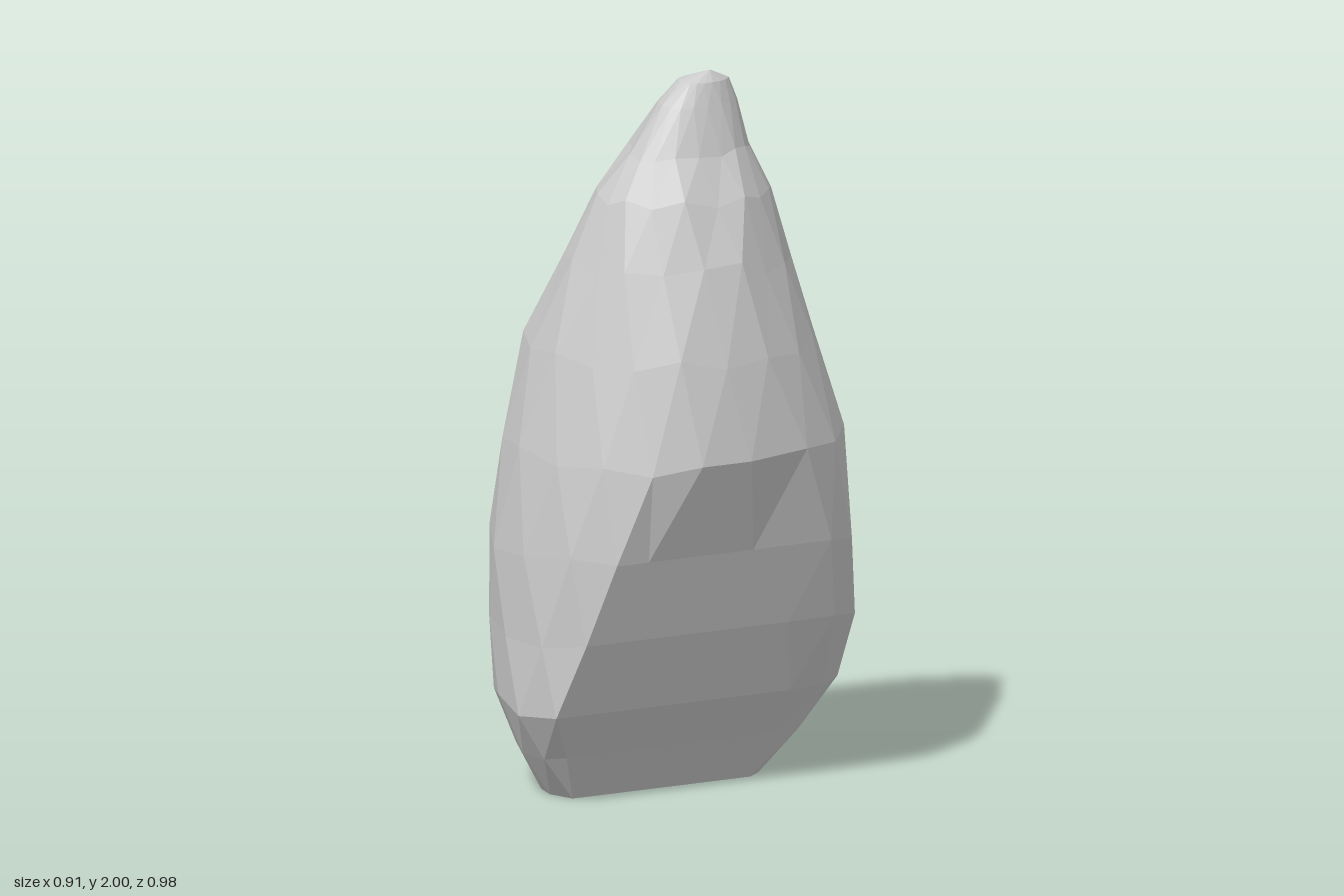
import * as THREE from 'three';

// Cross-sections: y, centre x, left x, right x, front z, back z, undercut x,
// then corner roundness (small is square): front-left, front-right, back-right, back-left
// (as seen from the front)
const SECTIONS = [
  [0.00, -0.08, -0.30, 0.18, 0.32, -0.33, 0.12, 1.05, 0.92, 0.68, 1.0],
  [0.13, -0.04, -0.39, 0.27, 0.41, -0.41, 0.19, 1.1, 0.92, 0.66, 1.1],
  [0.26, 0.00, -0.455, 0.37, 0.49, -0.485, 0.265, 1.1, 0.9, 0.64, 1.13],
  [0.47, 0.03, -0.45, 0.42, 0.49, -0.49, 0.35, 0.98, 0.88, 0.6, 1.0],
  [0.70, 0.04, -0.445, 0.44, 0.485, -0.485, 0.425, 0.92, 0.9, 0.64, 0.9],
  [0.97, 0.05, -0.41, 0.455, 0.46, -0.45, 0.53, 0.93, 0.92, 0.78, 0.9],
  [1.24, 0.06, -0.35, 0.41, 0.40, -0.40, 1, 0.95, 0.98, 0.98, 0.9],
  [1.48, 0.08, -0.25, 0.35, 0.33, -0.335, 1, 1.0, 1.08, 1.1, 0.85],
  [1.66, 0.09, -0.16, 0.29, 0.265, -0.28, 1, 1.12, 1.12, 1.12, 0.75],
  [1.78, 0.10, -0.09, 0.225, 0.18, -0.21, 1, 1.15, 1.12, 1.12, 0.72],
  [1.91, 0.11, -0.005, 0.185, 0.09, -0.165, 1, 1.1, 1.0, 1.0, 0.8],
  [1.97, 0.125, 0.05, 0.165, 0.03, -0.13, 1, 1.0, 1.0, 1.0, 0.9],
];
const SIDES = 18;

function seeded(seed) {
  return () => (seed = (seed * 16807) % 2147483647) / 2147483647;
}

function createRockGeometry() {
  const random = seeded(41);
  const positions = [];
  const index = [];
  SECTIONS.forEach(([y, cx, left, right, front, back, cut, fl, fr, br, bl], row) => {
    const cz = -0.05 * THREE.MathUtils.smoothstep(y, 1.2, 2);
    for (let i = 0; i < SIDES; i++) {
      const a = ((i + (row % 2) / 2) / SIDES) * Math.PI * 2;
      const c = Math.cos(a), s = Math.sin(a);
      // Oval with its own roundness in each quarter
      const power = s > 0 ? (c > 0 ? fr : fl) : (c > 0 ? br : bl);
      const bulge = (v) => Math.sign(v) * Math.abs(v) ** power;
      const wobble = row === 0 ? 1 : 0.992 + random() * 0.022;
      let x = cx + bulge(c) * (c > 0 ? right - cx : cx - left) * wobble;
      const z = cz + bulge(s) * (s > 0 ? front - cz : cz - back) * wobble;
      let lift = row === 0 ? 0 : (random() - 0.5) * 0.05 * Math.min(1, (2 - y) * 2);
      // Flat undercut face, turned slightly to the front
      const limit = cut - 0.24 * Math.max(0, z + 0.3);
      if (x > limit) {
        x = limit;
        lift = 0;
      }
      // Chipped grooves just below the tip
      if (row >= 9 && row <= 10 && c < -0.6 && i % 2 === 0) x += 0.025;
      positions.push(x, y + lift, z);
    }
  });
  // Staggered triangle bands
  for (let row = 0; row < SECTIONS.length - 1; row++) {
    for (let i = 0; i < SIDES; i++) {
      const j = (i + 1) % SIDES;
      const a = row * SIDES + i, b = row * SIDES + j;
      const d = a + SIDES, e = b + SIDES;
      if (row % 2 === 0) index.push(a, d, b, b, d, e);
      else index.push(a, d, e, a, e, b);
    }
  }
  // Flat base and pointed tip
  const base = positions.length / 3;
  positions.push(-0.1, 0, 0, 0.14, 2, -0.05);
  const last = (SECTIONS.length - 1) * SIDES;
  for (let i = 0; i < SIDES; i++) {
    const j = (i + 1) % SIDES;
    index.push(base, i, j, base + 1, last + j, last + i);
  }
  const geometry = new THREE.BufferGeometry();
  geometry.setAttribute('position', new THREE.Float32BufferAttribute(positions, 3));
  geometry.setIndex(index);
  const faceted = geometry.toNonIndexed();
  faceted.computeVertexNormals();
  return faceted;
}

export function createModel() {
  const stone = new THREE.MeshStandardMaterial({ color: 0xcccccc, flatShading: true });
  stone.name = 'stone grey';
  const rock = new THREE.Mesh(createRockGeometry(), stone);
  rock.name = 'rock';
  const group = new THREE.Group();
  group.name = 'standingRock';
  group.add(rock);
  return group;
}
